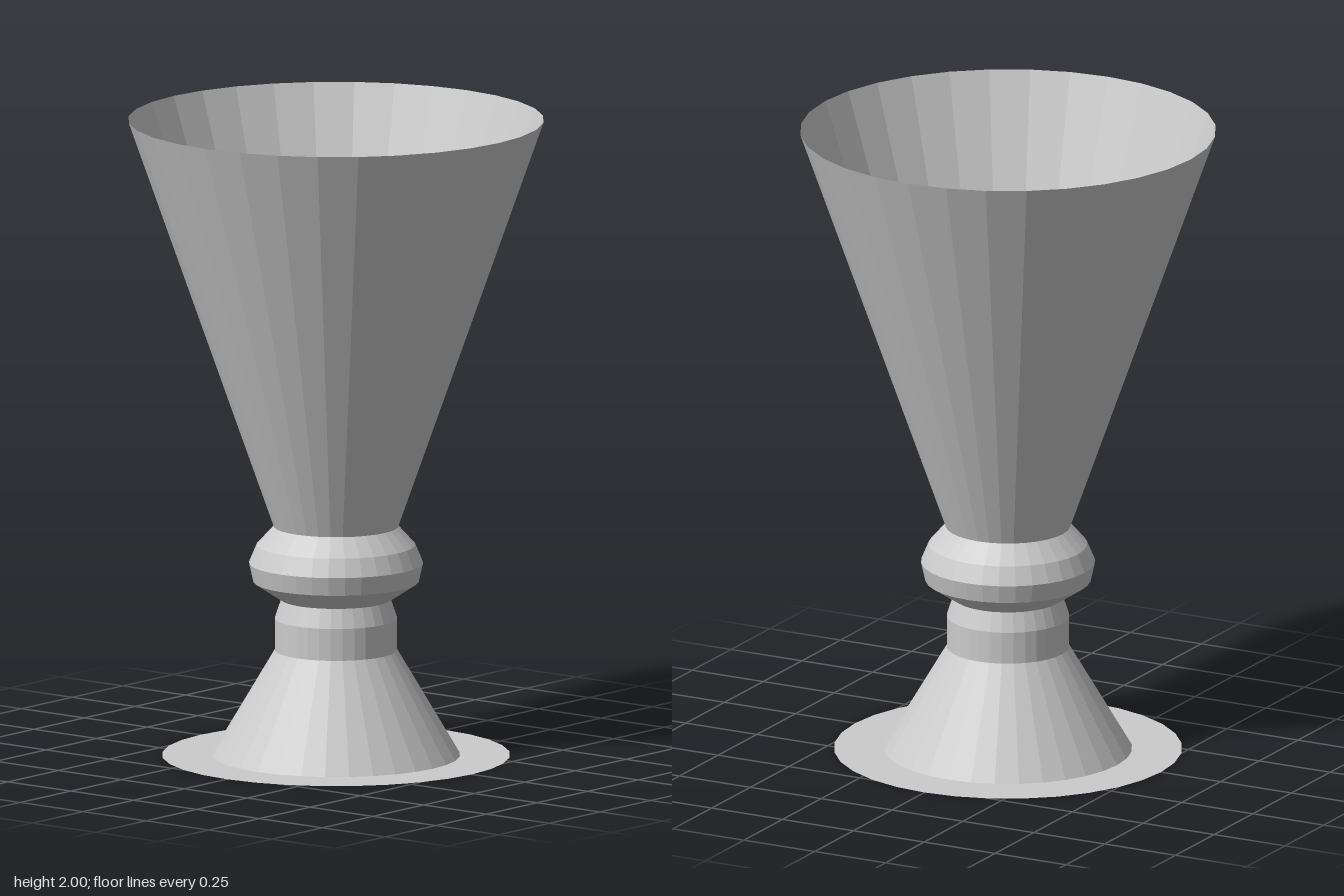
import * as THREE from 'three';

const SIDES = 32;

export function createModel() {
  const group = new THREE.Group();
  group.name = 'goblet';
  const material = new THREE.MeshStandardMaterial({
    color: 0xcccccc, flatShading: true, side: THREE.DoubleSide,
  });

  // Thin-walled turned part; profile points are [radius, height], bottom to top
  const turned = (name, profile) => {
    const points = profile.map(([r, y]) => new THREE.Vector2(r, y));
    const mesh = new THREE.Mesh(new THREE.LatheGeometry(points, SIDES), material);
    mesh.name = name;
    group.add(mesh);
  };

  // Flat rim lying on the ground, facing up
  turned('baseRim', [[0.54, 0], [0.385, 0]]);
  // Hollow flared foot
  turned('foot', [[0.385, 0], [0.19, 0.33]]);
  // Short straight stem with a tapered top
  turned('stem', [[0.19, 0.33], [0.19, 0.43], [0.17, 0.49]]);
  // Rounded knob below the cup
  turned('knob', [[0.17, 0.49], [0.257, 0.547], [0.27, 0.605], [0.246, 0.662], [0.193, 0.72]]);
  // Open conical cup
  turned('cup', [[0.193, 0.72], [0.645, 2]]);

  return group;
}
